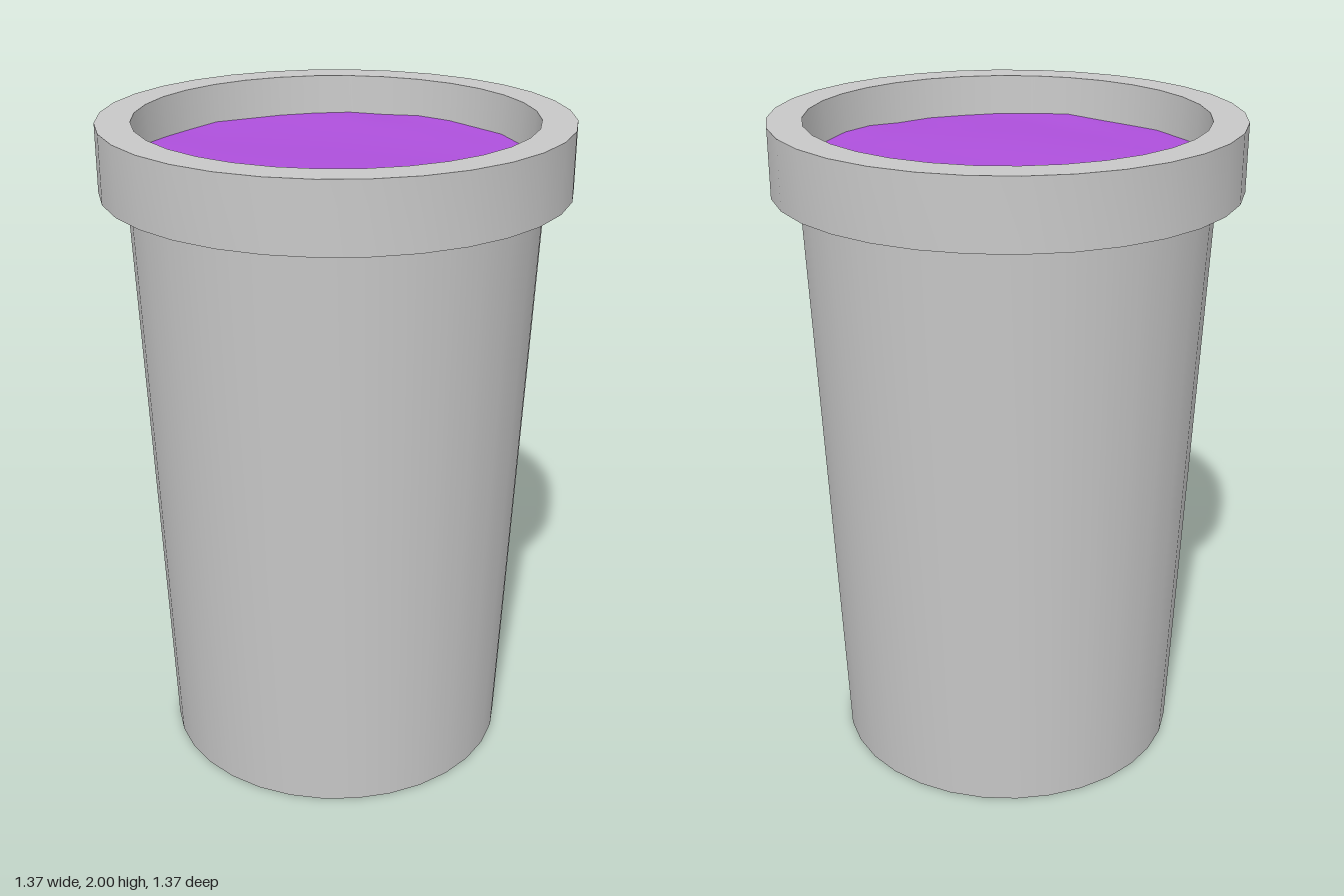
import * as THREE from 'three';
import { toCreasedNormals } from 'three/addons/utils/BufferGeometryUtils.js';

const SIDES = 32;

// Turn a [radius, height] profile around y, keeping hard edges sharp
function turned(profile, crease) {
  const points = profile.map(([r, y]) => new THREE.Vector2(r, y));
  return toCreasedNormals(new THREE.LatheGeometry(points, SIDES), crease);
}

export function createModel() {
  const group = new THREE.Group();
  group.name = 'cup';
  const grey = new THREE.MeshStandardMaterial({ color: 0xc8c8c8 });
  grey.name = 'cup grey';
  const purple = new THREE.MeshStandardMaterial({ color: 0xae50dc });
  purple.name = 'liquid purple';

  // Tapered cup with a thick collar, hollow inside
  const cup = new THREE.Mesh(turned([
    [0, 0], [0.532, 0], [0.607, 1.8], [0.687, 1.8], [0.687, 2],
    [0.586, 2], [0.51, 0.1], [0, 0.1],
  ], 0.6), grey);
  cup.name = 'cupBody';
  group.add(cup);

  // Liquid surface: a disc with gentle ripples, stronger near the wall
  const rings = 14;
  const radius = 0.581;
  const points = [];
  for (let i = rings; i >= 0; i--) points.push(new THREE.Vector2(radius * i / rings, 1.88));
  const disc = new THREE.LatheGeometry(points, SIDES);
  const pos = disc.attributes.position;
  for (let i = 0; i < pos.count; i++) {
    const x = pos.getX(i), z = pos.getZ(i);
    const edge = Math.pow(Math.hypot(x, z) / radius, 6);
    const swell = 0.005 * Math.sin(7 * x + 2) * Math.cos(6 * z - 1);
    const ripple = 0.006 * edge * Math.sin(17 * x + 5 * z) * Math.cos(13 * z - 4 * x);
    pos.setY(i, 1.88 + swell + ripple);
  }
  const liquid = new THREE.Mesh(toCreasedNormals(disc, 1.2), purple);
  liquid.name = 'liquidSurface';
  group.add(liquid);

  return group;
}
